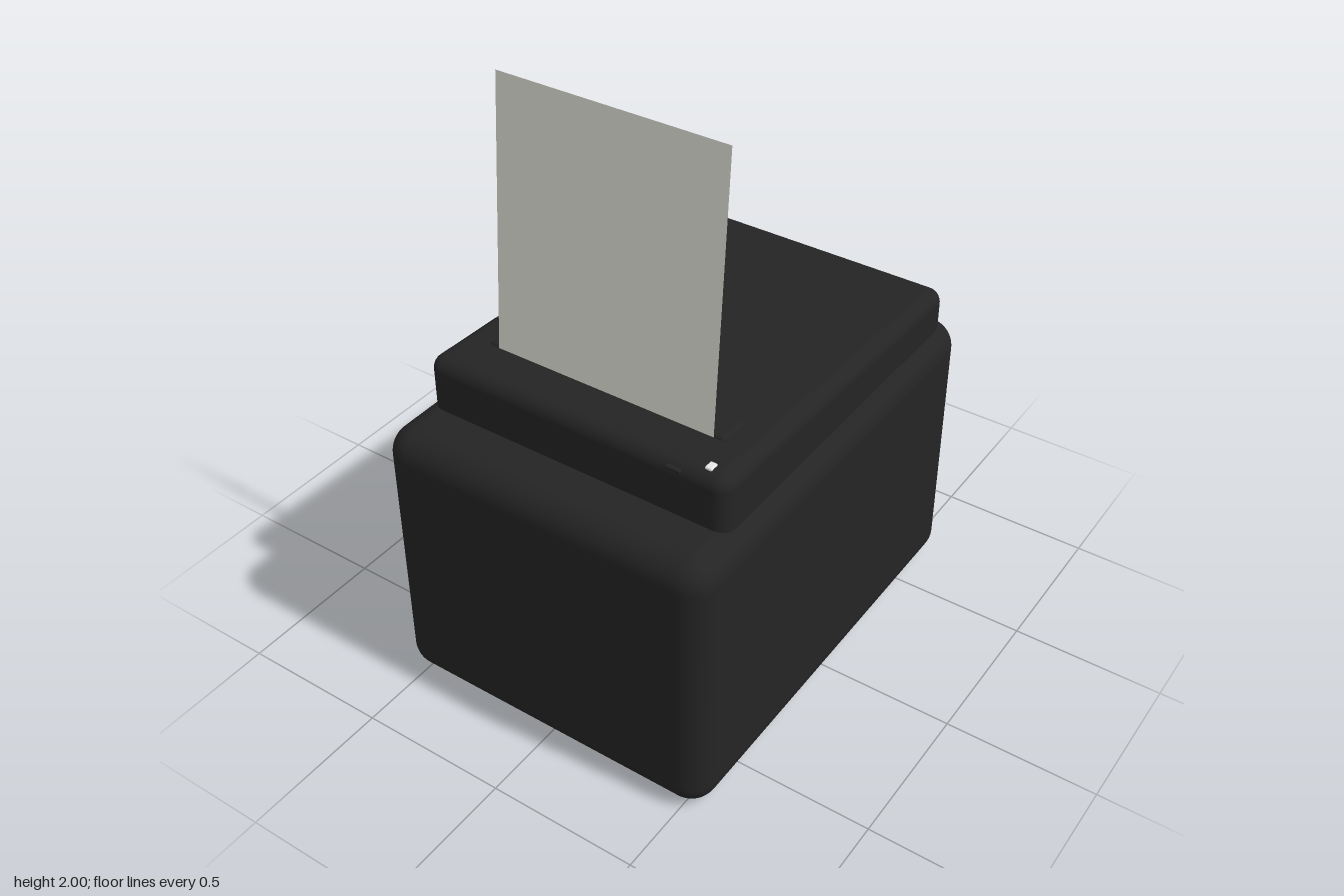
import * as THREE from 'three';
import { RoundedBoxGeometry } from 'three/addons/geometries/RoundedBoxGeometry.js';

const material = (name, color, side = THREE.FrontSide) => {
  const m = new THREE.MeshStandardMaterial({ color, side });
  m.name = name;
  return m;
};

// Height of the gently sloping lid surface at depth z
const lidTop = (z) => 1.107 + 0.04 * z;

export function createModel() {
  const group = new THREE.Group();
  const black = material('black plastic', 0x242424);
  const paper = material('paper', 0xdfdfd5, THREE.DoubleSide);
  const white = material('indicator white', 0xf0f0f0);

  const add = (name, geometry, mat, x, y, z) => {
    const mesh = new THREE.Mesh(geometry, mat);
    mesh.name = name;
    mesh.position.set(x, y, z);
    group.add(mesh);
    return mesh;
  };
  const rounded = (w, h, d, r, s = 6) => new RoundedBoxGeometry(w, h, d, s, r);

  // Main housing
  add('housing', rounded(1.15, 0.95, 1.51, 0.09, 8), black, 0, 0.475, 0);

  // Lid, its upper half sheared so the top falls towards the back
  const lidGeo = rounded(1.056, 0.247, 1.272, 0.048);
  const p = lidGeo.attributes.position;
  for (let i = 0; i < p.count; i++) {
    if (p.getY(i) > 0) p.setY(i, p.getY(i) + 0.04 * p.getZ(i));
  }
  add('lid', lidGeo, black, 0, 0.981, -0.066);

  // Raised rim around the paper slot, following the slope
  const rim = add('slotRim', rounded(0.836, 0.04, 0.112, 0.012, 3), black, 0, lidTop(0.355) - 0.011, 0.355);
  rim.rotation.x = -0.04;

  // Sheet leaning slightly back out of the slot
  const bottom = new THREE.Vector3(0, 1.1, 0.412);
  const top = new THREE.Vector3(0, 2, 0.342);
  const sheet = add('paperSheet', new THREE.PlaneGeometry(0.764, bottom.distanceTo(top)), paper, 0, 1.55, 0.377);
  sheet.rotation.x = Math.atan2(top.z - bottom.z, top.y - bottom.y);

  // Indicator light and small front button
  add('indicatorLight', rounded(0.024, 0.014, 0.032, 0.005, 2), white, 0.45, lidTop(0.524) - 0.002, 0.524);
  add('frontButton', rounded(0.05, 0.012, 0.03, 0.004, 2), black, 0.355, 1.104, 0.559);

  return group;
}
